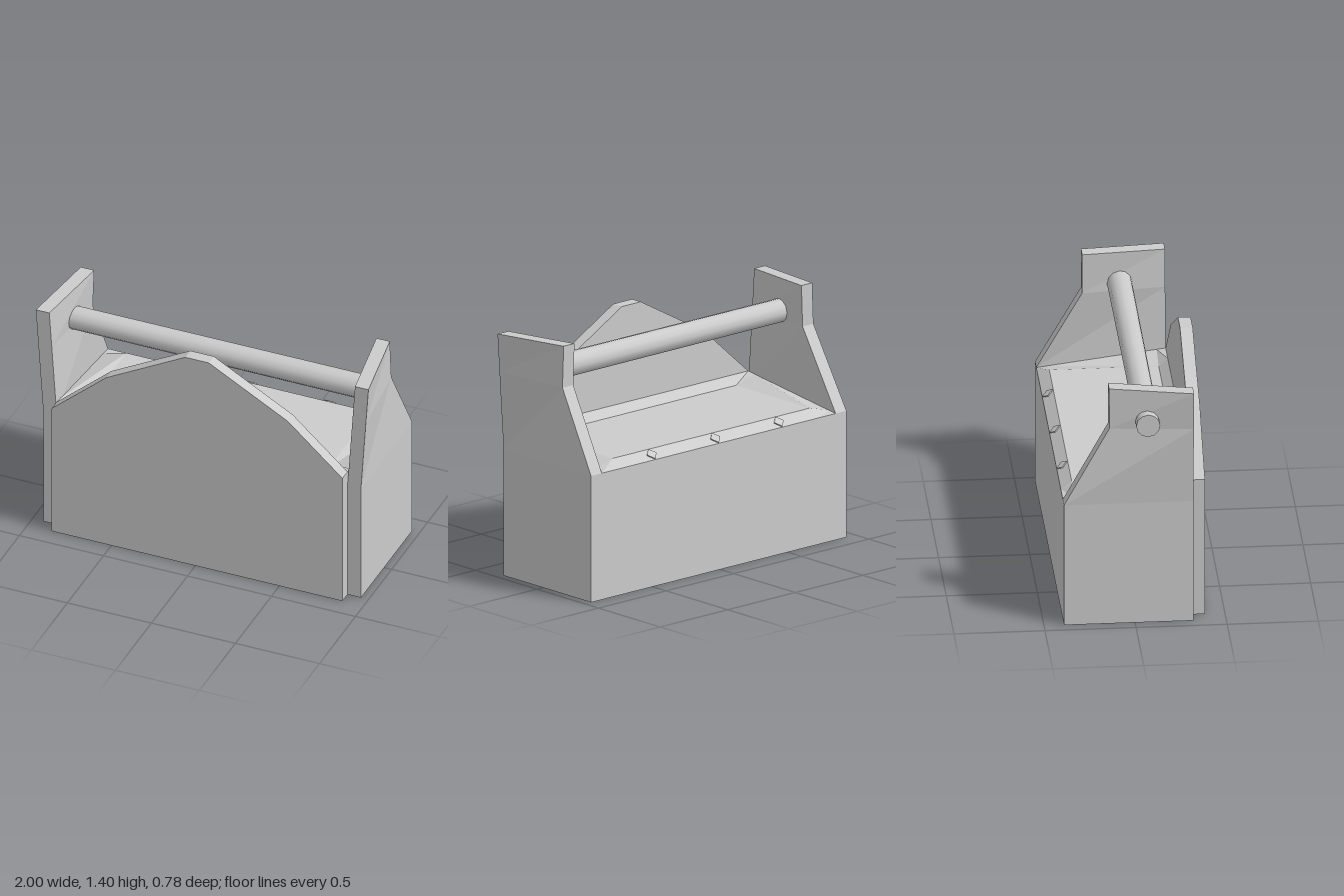
import * as THREE from 'three';

const CX = 0.01; // middle of the box along x
const lerp = THREE.MathUtils.lerp;

const flat = () => new THREE.MeshStandardMaterial({ color: 0xcccccc, flatShading: true });

function add(group, name, geometry, material = flat()) {
  const mesh = new THREE.Mesh(geometry, material);
  mesh.name = name;
  group.add(mesh);
  return mesh;
}

// Move every vertex of a geometry by a rule.
function reshape(geometry, rule) {
  const p = geometry.attributes.position;
  const v = new THREE.Vector3();
  for (let i = 0; i < p.count; i++) {
    v.fromBufferAttribute(p, i);
    rule(v);
    p.setXYZ(i, v.x, v.y, v.z);
  }
  geometry.computeVertexNormals();
  return geometry;
}

// Trough: a block whose top has a tilted rim around a level panel.
function troughGeometry() {
  const xs = [-0.865, -0.73, 0.73, 0.865];
  const zs = [-0.39, -0.33, 0.27, 0.32];
  return reshape(new THREE.BoxGeometry(3, 1, 3, 3, 1, 3), (v) => {
    const i = Math.round(v.x + 1.5), k = Math.round(v.z + 1.5);
    const inner = i % 3 !== 0 && k % 3 !== 0;
    const rim = lerp(0.72, 0.81, (zs[k] + 0.39) / 0.71);
    v.set(CX + xs[i], v.y < 0 ? 0 : inner ? 0.765 : rim, zs[k]);
  });
}

// End panel: tapers toward the top, splaying out at the front and in at the back.
function endGeometry(side) {
  const rows = [
    { front: 0, back: 0, z: -0.39 },
    { front: 0.72, back: 0.72, z: -0.39 },
    { front: 1.165, back: 1.165, z: -0.14 },
    { front: 1.385, back: 1.4, z: -0.14 },
  ];
  return reshape(new THREE.BoxGeometry(0.08, 3, 1, 1, 3, 1), (v) => {
    const row = rows[Math.round(v.y + 1.5)];
    const atFront = v.z > 0;
    const y = atFront ? row.front : row.back;
    const t = Math.max(0, (y - 0.72) / 0.67);
    const shift = t * (atFront ? 0.045 : -0.025);
    v.set(CX + side * (0.905 + shift) + v.x, y, atFront ? 0.32 : row.z);
  });
}

// Front board: half profile mirrored into a gabled outline.
function frontGeometry() {
  const half = [[0.865, 0], [0.865, 0.81], [0.54, 1.1], [0.07, 1.36]];
  const points = [
    ...half.map(([x, y]) => new THREE.Vector2(CX + x, y)),
    ...half.slice().reverse().map(([x, y]) => new THREE.Vector2(CX - x, y)),
  ];
  const g = new THREE.ExtrudeGeometry(new THREE.Shape(points), { depth: 0.07, bevelEnabled: false });
  return g.translate(0, 0, 0.32);
}

export function createModel() {
  const model = new THREE.Group();
  model.name = 'carryBox';

  add(model, 'trough', troughGeometry());
  add(model, 'leftEnd', endGeometry(1));
  add(model, 'rightEnd', endGeometry(-1));
  add(model, 'frontBoard', frontGeometry());

  // Round handle, passing out through the right end only
  const handle = add(model, 'handle', new THREE.CylinderGeometry(0.066, 0.069, 1.89, 12),
    new THREE.MeshStandardMaterial({ color: 0xcccccc }));
  handle.rotation.z = Math.PI / 2;
  handle.position.set(-0.055, 1.21, 0.067);

  // Small diamond studs lying on the sloping back rim
  for (const x of [-0.47, 0, 0.47]) {
    const stud = add(model, 'stud', new THREE.CylinderGeometry(0.035, 0.035, 0.012, 4));
    stud.rotation.x = -Math.atan2(0.045, 0.06);
    stud.position.set(CX + x, 0.7425, -0.36);
  }
  return model;
}
